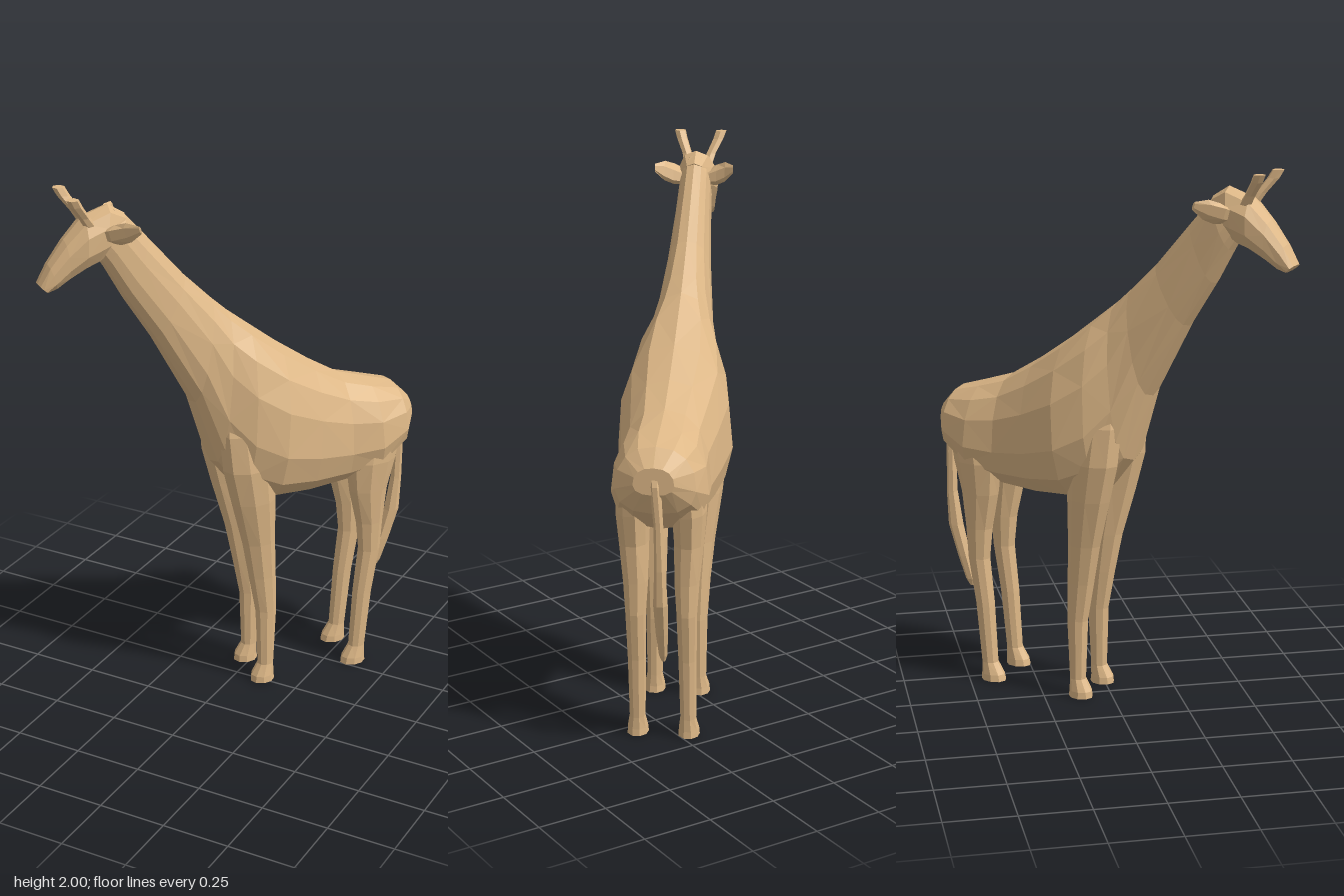
import * as THREE from 'three';

const V = (x, y, z) => new THREE.Vector3(x, y, z);
const power = (v, e) => Math.sign(v) * Math.abs(v) ** e;

// Closed, capped skin through rings {c: centre, a, b: half axes}.
// egg narrows the a side; full below 1 makes the rings boxier than an ellipse.
function loft(rings, sides, egg = 0, full = 1) {
  const pts = rings.map(({ c, a, b }) => Array.from({ length: sides }, (_, i) => {
    const t = (i / sides) * Math.PI * 2;
    const u = power(Math.cos(t), full);
    const v = power(Math.sin(t), full);
    return c.clone().addScaledVector(a, u).addScaledVector(b, v * (1 - egg * u));
  }));
  const tris = [];
  const last = rings.length - 1;
  for (let i = 0; i < sides; i++) {
    const j = (i + 1) % sides;
    for (let r = 0; r < last; r++) {
      const [p, q, s, t] = [pts[r][i], pts[r][j], pts[r + 1][j], pts[r + 1][i]];
      if ((i + r) % 2) tris.push([p, q, s], [p, s, t]);
      else tris.push([p, q, t], [q, s, t]);
    }
    tris.push([rings[0].c, pts[0][j], pts[0][i]], [rings[last].c, pts[last][i], pts[last][j]]);
  }
  // Turn every face outward
  let volume = 0;
  const o = rings[0].c;
  for (const [p, q, s] of tris) {
    volume += p.clone().sub(o).dot(q.clone().sub(o).cross(s.clone().sub(o)));
  }
  const pos = [];
  for (const [p, q, s] of tris) {
    for (const v of volume > 0 ? [p, q, s] : [p, s, q]) pos.push(v.x, v.y, v.z);
  }
  const g = new THREE.BufferGeometry();
  g.setAttribute('position', new THREE.Float32BufferAttribute(pos, 3));
  g.computeVertexNormals();
  return g;
}

// Ring spanning a top and a bottom point of the side profile, with a half width
const profileRing = ([tz, ty, bz, by, w]) => ({
  c: V(0, (ty + by) / 2, (tz + bz) / 2), a: V(0, (ty - by) / 2, (tz - bz) / 2), b: V(w, 0, 0),
});
// Level ring for legs, horns and tail: height, x, z, half width, half depth
const levelRing = side => ([y, x, z, rx, rz]) => ({ c: V(x * side, y, z), a: V(0, 0, rz), b: V(rx, 0, 0) });
// Upright ring for ears: x, y, z, half height, half thickness
const earRing = side => ([x, y, z, h, t]) => ({ c: V(x * side, y, z), a: V(0, h, h * 0.3), b: V(0, 0, t) });

export function createModel() {
  const hide = new THREE.MeshStandardMaterial({ color: 0xdeb887 });
  hide.name = 'tan hide';
  hide.flatShading = true;

  const model = new THREE.Group();
  model.name = 'giraffe';
  const animal = new THREE.Group();
  animal.name = 'turnedBody';
  animal.rotation.y = -0.69;
  animal.position.set(-0.006, 0, -0.005);
  model.add(animal);

  const add = (name, geometry) => {
    const mesh = new THREE.Mesh(geometry, hide);
    mesh.name = name;
    animal.add(mesh);
  };

  // Rump, barrel, shoulders and neck in one skin: top z, y, bottom z, y, half width
  add('bodyAndNeck', loft([
    [-0.678, 1.065, -0.682, 0.97, 0.07],
    [-0.62, 1.122, -0.64, 0.89, 0.138],
    [-0.51, 1.155, -0.53, 0.80, 0.168],
    [-0.40, 1.19, -0.40, 0.77, 0.162],
    [-0.28, 1.262, -0.25, 0.758, 0.183],
    [-0.15, 1.352, -0.10, 0.763, 0.205],
    [-0.03, 1.445, 0.01, 0.80, 0.18],
    [0.04, 1.50, 0.105, 0.92, 0.136],
    [0.10, 1.555, 0.182, 1.17, 0.105],
    [0.20, 1.655, 0.325, 1.44, 0.08],
    [0.33, 1.808, 0.425, 1.60, 0.066],
    [0.41, 1.90, 0.49, 1.72, 0.06],
    [0.45, 1.93, 0.52, 1.77, 0.05],
  ].map(profileRing), 14, 0.12, 0.84));

  // Head, from the back of the skull to the muzzle
  add('head', loft([
    [0.41, 1.905, 0.46, 1.78, 0.045],
    [0.47, 1.943, 0.52, 1.74, 0.07],
    [0.56, 1.912, 0.565, 1.725, 0.075],
    [0.63, 1.838, 0.622, 1.694, 0.061],
    [0.69, 1.758, 0.665, 1.668, 0.051],
    [0.727, 1.69, 0.695, 1.662, 0.044],
  ].map(profileRing), 10, 0, 0.9));

  for (const [side, label] of [[1, 'left'], [-1, 'right']]) {
    // Front leg with shoulder
    add(label + 'FrontLeg', loft([
      [0, 0.084, -0.072, 0.04, 0.047],
      [0.025, 0.084, -0.072, 0.038, 0.044],
      [0.07, 0.082, -0.085, 0.029, 0.031],
      [0.3, 0.08, -0.086, 0.035, 0.041],
      [0.45, 0.082, -0.07, 0.042, 0.053],
      [0.6, 0.088, -0.052, 0.05, 0.064],
      [0.78, 0.102, -0.025, 0.06, 0.085],
      [0.92, 0.108, -0.003, 0.066, 0.098],
      [1.06, 0.1, 0.01, 0.062, 0.095],
      [1.2, 0.07, 0.02, 0.045, 0.07],
    ].map(levelRing(side)), 9));

    // Hind leg with haunch
    add(label + 'HindLeg', loft([
      [0, 0.092, -0.448, 0.039, 0.05],
      [0.025, 0.092, -0.45, 0.037, 0.046],
      [0.07, 0.091, -0.464, 0.029, 0.032],
      [0.3, 0.09, -0.482, 0.033, 0.037],
      [0.48, 0.09, -0.506, 0.037, 0.043],
      [0.6, 0.09, -0.503, 0.045, 0.053],
      [0.74, 0.096, -0.492, 0.053, 0.076],
      [0.86, 0.098, -0.498, 0.061, 0.1],
      [1.02, 0.09, -0.53, 0.06, 0.1],
    ].map(levelRing(side)), 9));

    // Horn with blunt tip
    add(label + 'Horn', loft([
      [1.87, 0.03, 0.535, 0.022, 0.024],
      [1.92, 0.046, 0.568, 0.019, 0.02],
      [1.97, 0.069, 0.603, 0.021, 0.022],
      [1.998, 0.078, 0.617, 0.022, 0.022],
    ].map(levelRing(side)), 6));

    // Ear, broad at the base and swept outward and back
    add(label + 'Ear', loft([
      [0.045, 1.845, 0.48, 0.028, 0.042],
      [0.08, 1.856, 0.462, 0.037, 0.034],
      [0.113, 1.872, 0.435, 0.035, 0.017],
      [0.146, 1.887, 0.405, 0.014, 0.004],
    ].map(earRing(side)), 6));
  }

  // Hanging tail with a thicker tuft
  add('tail', loft([
    [1.08, 0, -0.635, 0.022, 0.025],
    [1.0, -0.005, -0.667, 0.02, 0.024],
    [0.86, -0.016, -0.67, 0.017, 0.019],
    [0.7, -0.02, -0.667, 0.02, 0.022],
    [0.57, -0.02, -0.652, 0.026, 0.03],
    [0.45, -0.02, -0.617, 0.022, 0.026],
    [0.36, -0.02, -0.59, 0.015, 0.02],
    [0.335, -0.02, -0.585, 0.007, 0.009],
  ].map(levelRing(1)), 7));

  return model;
}
